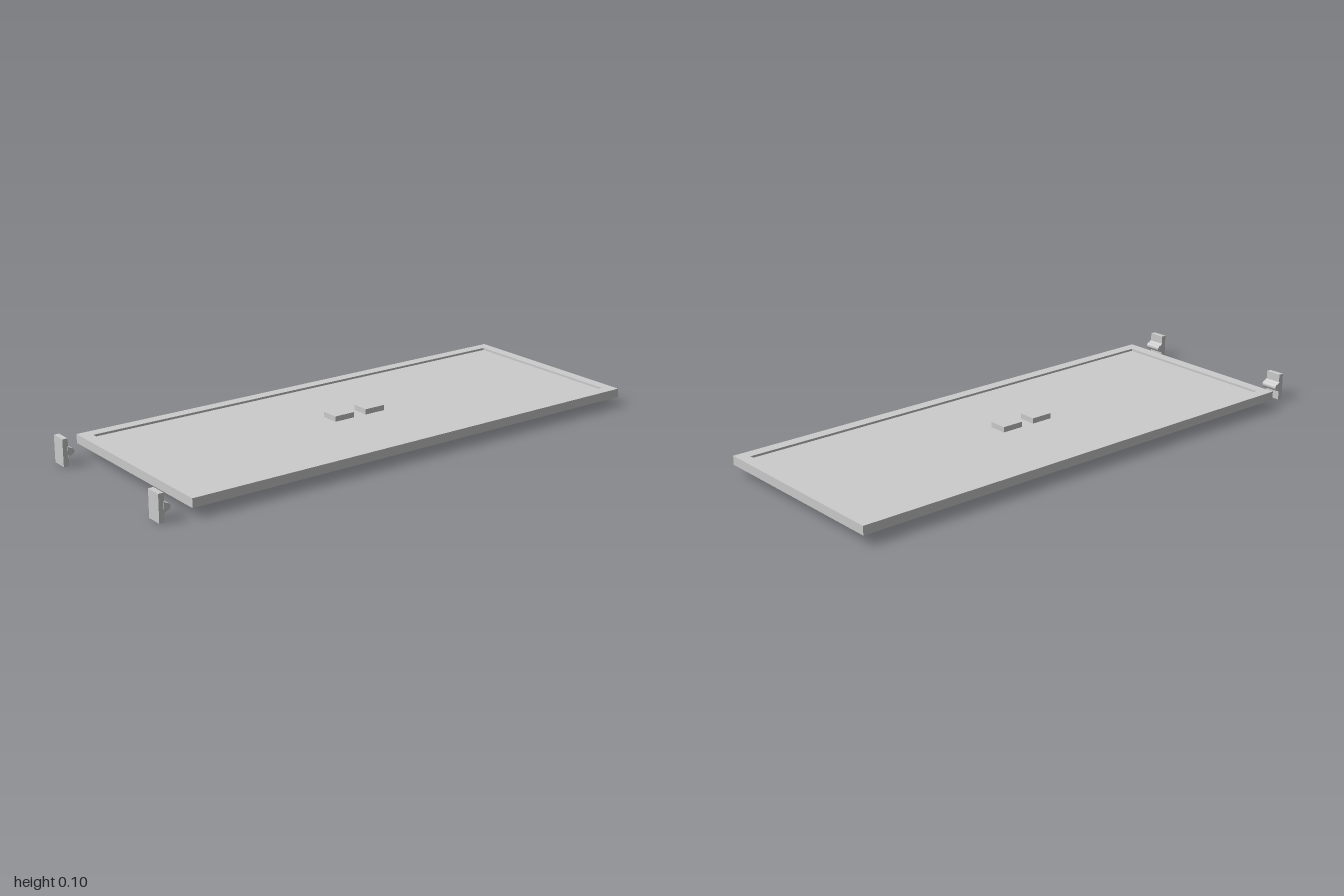
import * as THREE from 'three';

const material = new THREE.MeshStandardMaterial({ color: 0xcccccc, flatShading: true });

function add(parent, name, geometry, x, y, z) {
  const mesh = new THREE.Mesh(geometry, material);
  mesh.name = name;
  mesh.position.set(x, y, z);
  parent.add(mesh);
  return mesh;
}

// Rectangular ring lying flat, with its underside at y = 0
function ringGeometry(width, depth, border, height) {
  const w = width / 2, d = depth / 2, b = border;
  const shape = new THREE.Shape();
  shape.moveTo(-w, -d).lineTo(w, -d).lineTo(w, d).lineTo(-w, d).closePath();
  const hole = new THREE.Path();
  hole.moveTo(-w + b, -d + b).lineTo(-w + b, d - b).lineTo(w - b, d - b).lineTo(w - b, -d + b).closePath();
  shape.holes.push(hole);
  return new THREE.ExtrudeGeometry(shape, { depth: height, bevelEnabled: false }).rotateX(-Math.PI / 2);
}

// Wall bracket: a flat plate with a round-nosed ridge running along z
function createBracket(z) {
  const bracket = new THREE.Group();
  bracket.name = 'bracket';
  add(bracket, 'bracketPlate', new THREE.BoxGeometry(0.02, 0.1, 0.062), -0.99, 0.05, z);

  const profile = new THREE.Shape();
  profile.moveTo(-0.982, 0.031);
  profile.lineTo(-0.969, 0.039);
  profile.absarc(-0.97, 0.051, 0.012, -Math.PI / 2, Math.PI / 2, false);
  profile.lineTo(-0.982, 0.071);
  profile.closePath();
  const ridge = new THREE.ExtrudeGeometry(profile, { depth: 0.066, bevelEnabled: false, curveSegments: 8 });
  add(bracket, 'bracketRidge', ridge, 0, 0, z - 0.033);
  return bracket;
}

export function createModel() {
  const model = new THREE.Group();
  model.name = 'doorPanel';

  // Raised border around a slightly recessed panel
  const width = 1.89, depth = 0.764, border = 0.043;
  const centre = 0.055, bottom = 0.033, height = 0.033, recess = 0.008;
  add(model, 'frame', ringGeometry(width, depth, border, height), centre, bottom, 0);
  add(model, 'panel', new THREE.BoxGeometry(width - 2 * border, height - 2 * recess, depth - 2 * border),
    centre, bottom + height / 2, 0);

  // Two small pads standing on the panel
  const floor = bottom + height - recess;
  const padHeight = 0.078 - floor;
  for (const x of [-0.034, 0.103]) {
    add(model, 'pad', new THREE.BoxGeometry(0.084, padHeight, 0.068), x, floor + padHeight / 2, 0);
  }

  // Brackets beside the right-hand end
  for (const z of [0.331, -0.303]) model.add(createBracket(z));

  return model;
}
